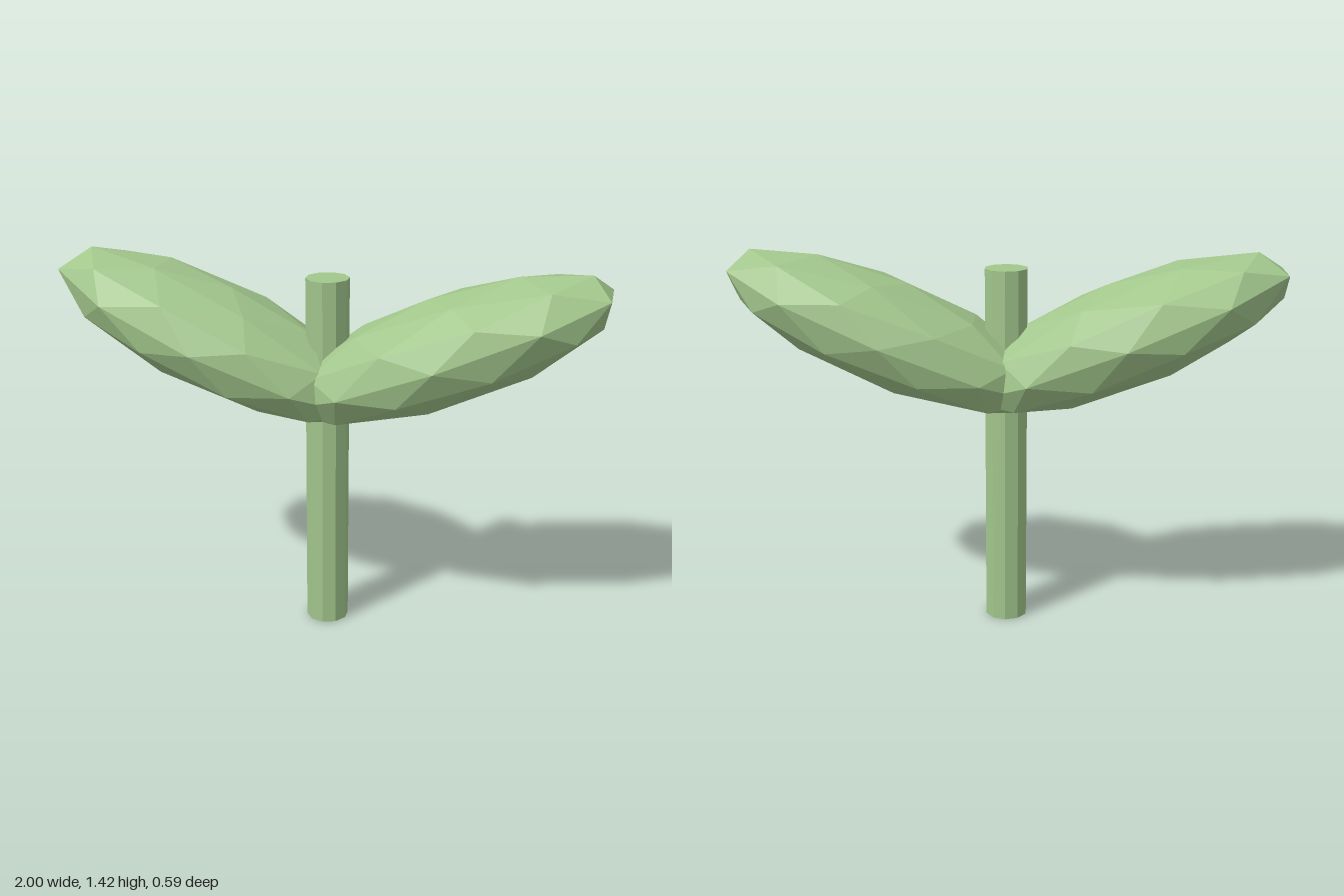
import * as THREE from 'three';

export function createModel() {
  const model = new THREE.Group();
  const green = new THREE.MeshStandardMaterial({ color: 0xa2c68c, flatShading: true });
  green.name = 'leafGreen';

  // straight ten-sided stem
  const stem = new THREE.Mesh(new THREE.CylinderGeometry(0.08, 0.08, 1.355, 10), green);
  stem.name = 'stem';
  stem.position.y = 1.355 / 2;
  model.add(stem);

  // faceted ball with a corner at the top, its upper ring starting at +x, stretched to a leaf
  const leafShape = new THREE.IcosahedronGeometry(1, 1);
  leafShape.rotateX(-Math.atan((1 + Math.sqrt(5)) / 2));
  leafShape.rotateY(Math.PI / 2);
  leafShape.scale(0.645, 0.195, 0.295);

  // two leaves tilted up and outward
  for (const side of [1, -1]) {
    const leaf = new THREE.Mesh(leafShape, green);
    leaf.name = side > 0 ? 'leftLeaf' : 'rightLeaf';
    leaf.position.set(side * 0.433, 1.115, 0);
    leaf.rotation.z = side * THREE.MathUtils.degToRad(22.5);
    model.add(leaf);
  }
  return model;
}
